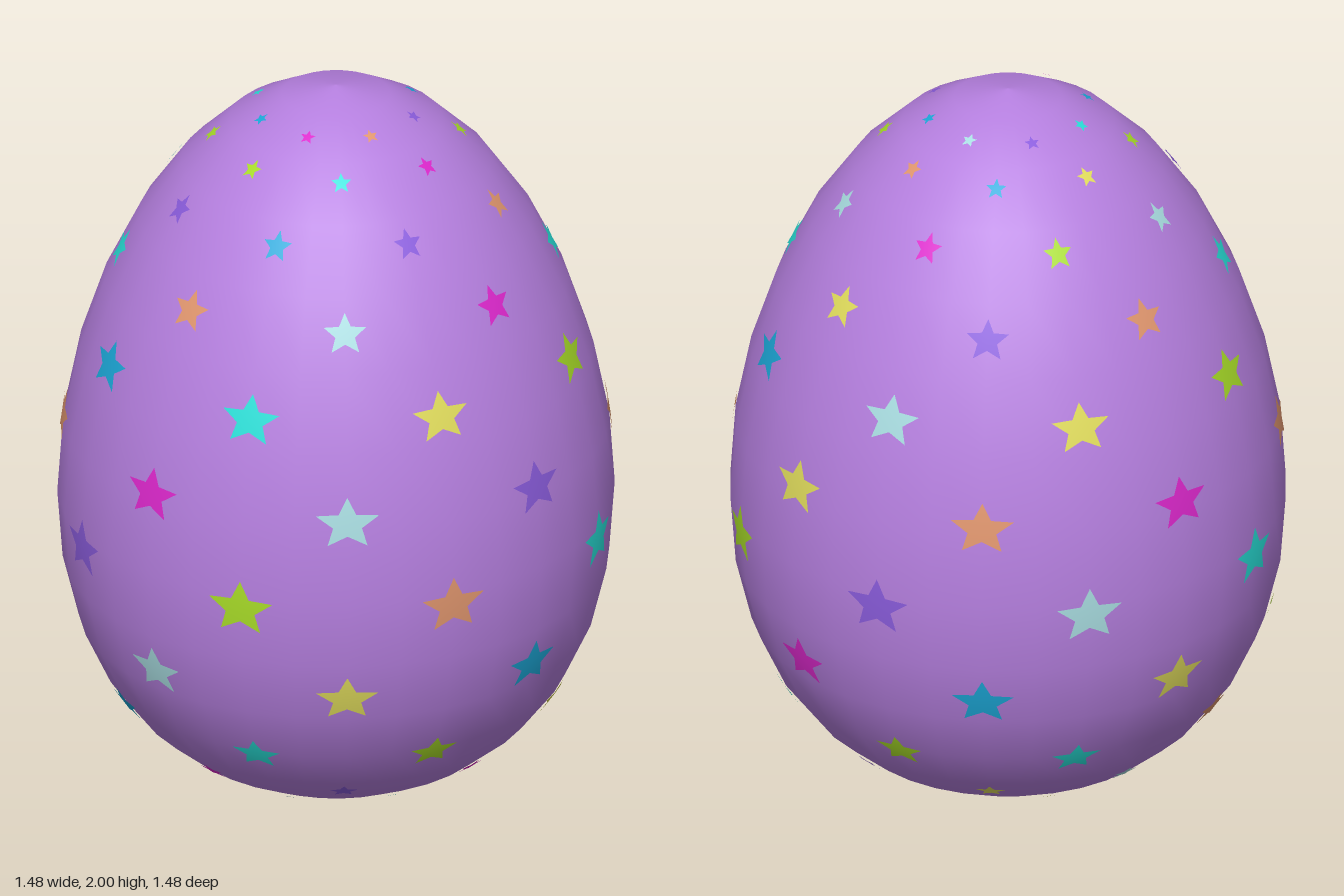
import * as THREE from 'three';
import { mergeGeometries } from 'three/addons/utils/BufferGeometryUtils.js';

const RADIUS = 0.735;

const mat = (name, color) => {
  const m = new THREE.MeshStandardMaterial({ color });
  m.name = name;
  return m;
};

// Egg outline at polar angle t: radius, height, outward normal and arc speed
function profile(t) {
  const c = Math.cos(t), s = Math.sin(t);
  const nr = (1 + 0.34 * c) * s, ny = RADIUS * c;
  const speed = Math.hypot(nr, ny);
  return { r: RADIUS * s, y: 0.83 + c + 0.17 * c * c, nr: nr / speed, ny: ny / speed, speed };
}

// Five-pointed star wrapped on to the egg, centred at polar angle t0 and azimuth a0
function starGeometry(t0, a0, width, height) {
  const mid = profile(t0);
  const position = [], normal = [], index = [];
  const addPoint = (u, v) => {
    const p = profile(t0 - v / mid.speed);
    const a = a0 + u / mid.r;
    const r = p.r + p.nr * 0.003, y = p.y + p.ny * 0.003;
    position.push(r * Math.sin(a), y, r * Math.cos(a));
    normal.push(p.nr * Math.sin(a), p.ny, p.nr * Math.cos(a));
  };
  const su = width / 1.902, sv = height / 1.809;
  addPoint(0, -0.095 * sv);
  for (let k = 0; k < 10; k++) {
    const angle = Math.PI / 2 + (k * Math.PI) / 5;
    const d = k % 2 ? 0.45 : 1;
    addPoint(su * d * Math.cos(angle), sv * (d * Math.sin(angle) - 0.095));
    index.push(0, k + 1, ((k + 1) % 10) + 1);
  }
  const g = new THREE.BufferGeometry();
  g.setAttribute('position', new THREE.Float32BufferAttribute(position, 3));
  g.setAttribute('normal', new THREE.Float32BufferAttribute(normal, 3));
  g.setIndex(index);
  return g;
}

// Star rows from top to bottom: polar angle, width, height, colour letters round the egg.
// Every second row is turned by half a step.
const ROWS = [
  [17, 0.04, 0.04, 'OPBCPTBM'],
  [26, 0.053, 0.055, 'MLOBYLLT'],
  [37.5, 0.077, 0.082, 'POCMLCPB'],
  [50, 0.113, 0.105, 'MTYPOTOC'],
  [63, 0.158, 0.128, 'YLBCYLBT'],
  [77, 0.168, 0.132, 'POYOMOMC'],
  [91.4, 0.178, 0.143, 'OTLPCTPL'],
  [107.5, 0.165, 0.13, 'BCMBYLCY'],
  [124, 0.132, 0.107, 'LYTLTOBT'],
  [139, 0.077, 0.075, 'MCPYCPMP'],
  [151, 0.05, 0.052, 'TYYMYTOC'],
  [162, 0.036, 0.04, 'OLLTOMYT'],
];

const STAR_COLOURS = {
  O: ['orange', 0xe0966e],
  Y: ['yellow', 0xe0dc5c],
  L: ['lime', 0xa8dc28],
  T: ['turquoise', 0x28e0d8],
  B: ['blue', 0x1ca8d8],
  P: ['violet', 0x8a5cdc],
  M: ['magenta', 0xdc28cc],
  C: ['paleCyan', 0xa8dce0],
};

export function createModel() {
  const egg = new THREE.Group();
  egg.name = 'decoratedEgg';

  // Shell
  const points = [];
  for (let i = 16; i >= 0; i--) {
    const p = profile((i * Math.PI) / 16);
    points.push(new THREE.Vector2(i % 16 ? p.r : 0, p.y));
  }
  const shell = new THREE.Mesh(new THREE.LatheGeometry(points, 32), mat('lavender', 0xb57fdf));
  shell.name = 'shell';
  egg.add(shell);

  // Painted stars, one mesh for each colour
  const byColour = {};
  ROWS.forEach(([polar, width, height, letters], row) => {
    [...letters].forEach((letter, i) => {
      const azimuth = (i + (row % 2) / 2) * (Math.PI / 4);
      (byColour[letter] ??= []).push(
        starGeometry(THREE.MathUtils.degToRad(polar), azimuth, width, height));
    });
  });
  for (const [letter, geometries] of Object.entries(byColour)) {
    const [name, color] = STAR_COLOURS[letter];
    const stars = new THREE.Mesh(mergeGeometries(geometries), mat(name, color));
    stars.name = name + 'Stars';
    egg.add(stars);
  }
  return egg;
}
